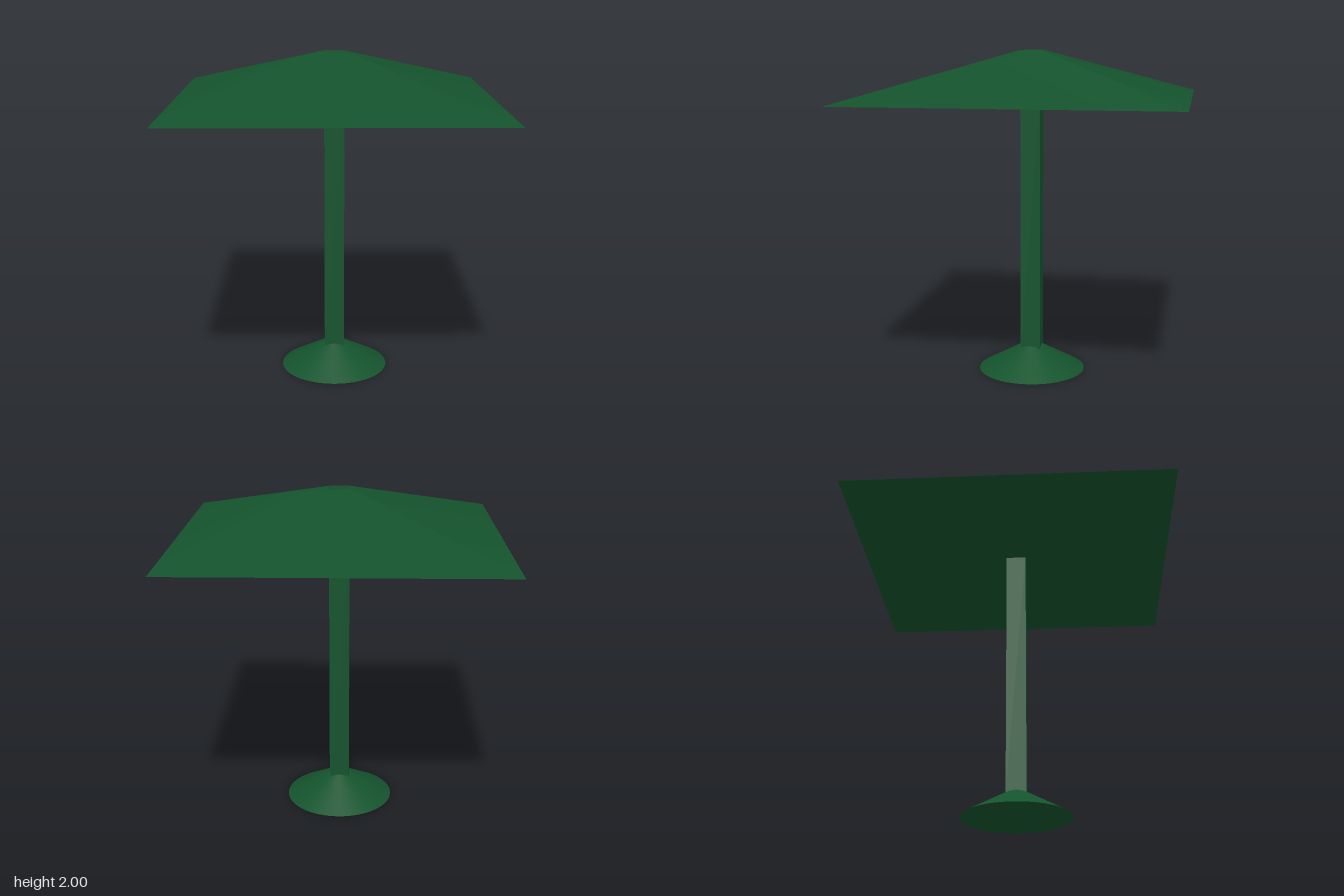
import * as THREE from 'three';

const green = { color: 0x14532d };

// Square frustum made from a four-sided cylinder turned to face the axes
function squareFrustum(halfTop, halfBottom, yBottom, yTop) {
  const g = new THREE.CylinderGeometry(
    halfTop * Math.SQRT2, halfBottom * Math.SQRT2, yTop - yBottom, 4, 1, true);
  g.rotateY(Math.PI / 4);
  g.translate(0, (yTop + yBottom) / 2, 0);
  return g;
}

export function createModel() {
  const group = new THREE.Group();
  const material = new THREE.MeshStandardMaterial(green);
  const innerMaterial = new THREE.MeshStandardMaterial({ ...green, side: THREE.BackSide, flatShading: true });

  const add = (name, geometry, mat = material) => {
    const mesh = new THREE.Mesh(geometry, mat);
    mesh.name = name;
    group.add(mesh);
    return mesh;
  };

  const roofY = 1.715, roofHalf = 0.963, postHalf = 0.061, postBottom = 0.12;

  // Conical foot, its tip hidden inside the post
  const foot = new THREE.ConeGeometry(0.332, 0.187, 64);
  foot.translate(0, 0.0935, 0);
  add('foot', foot);

  // Square post up to the underside of the roof
  const post = new THREE.BoxGeometry(postHalf * 2, roofY - postBottom, postHalf * 2);
  post.translate(0, (roofY + postBottom) / 2, 0);
  add('post', post);

  // Sloping roof with softly shaded hips
  add('roof', squareFrustum(postHalf, roofHalf, roofY, 2));

  // Flat ceiling under the roof
  const ceiling = new THREE.PlaneGeometry(roofHalf * 2, roofHalf * 2);
  ceiling.rotateX(Math.PI / 2);
  ceiling.translate(0, roofY, 0);
  add('ceiling', ceiling);

  // Walls of the square opening at the peak
  add('peakOpening', squareFrustum(postHalf, postHalf, roofY, 2), innerMaterial);

  return group;
}
